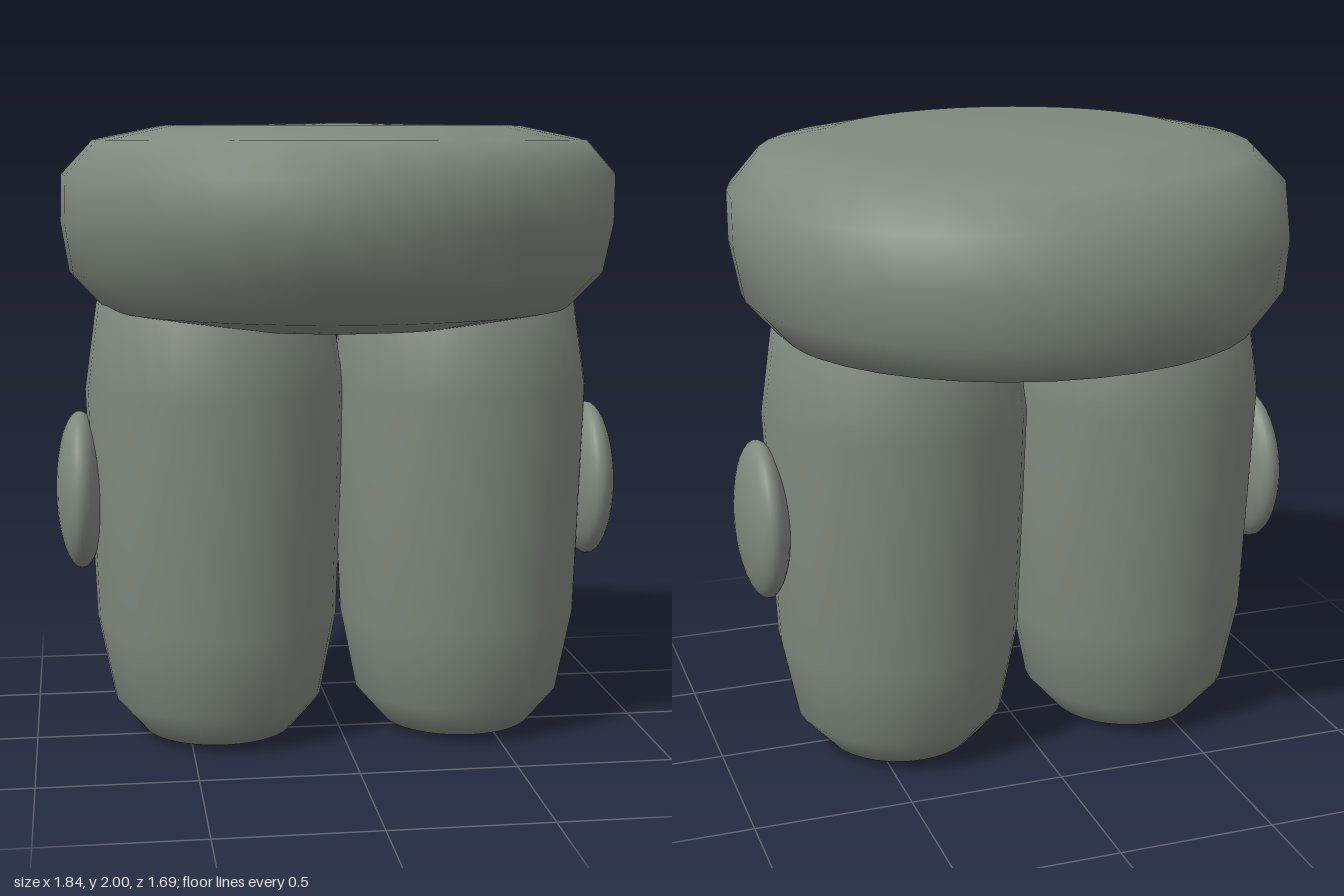
import * as THREE from 'three';
import { mergeVertices } from 'three/addons/utils/BufferGeometryUtils.js';

// Closed smooth body from elliptical rings, bottom to top: [halfWidth, y, halfDepth, zCentre]
function loft(rings, segments) {
  const profile = rings.map(([r, y]) => new THREE.Vector2(r, y));
  const lathe = new THREE.LatheGeometry(profile, segments);
  const pos = lathe.attributes.position;
  for (let i = 0; i < pos.count; i++) {
    const [r, , depth, zc] = rings[i % rings.length];
    pos.setZ(i, (r > 0 ? pos.getZ(i) * depth / r : 0) + zc);
  }
  lathe.deleteAttribute('uv');
  lathe.deleteAttribute('normal');
  const geometry = mergeVertices(lathe, 1e-4);
  geometry.computeVertexNormals();
  return geometry;
}

export function createModel() {
  const model = new THREE.Group();
  const stone = new THREE.MeshStandardMaterial({ color: 0x7f897d });
  stone.name = 'grey green';

  const add = (name, geometry, x = 0, y = 0, z = 0) => {
    const mesh = new THREE.Mesh(geometry, stone);
    mesh.name = name;
    mesh.position.set(x, y, z);
    model.add(mesh);
    return mesh;
  };

  // Broad cushion top, leaning slightly forward as it rises
  add('cushionTop', loft([
    [0, 1.355, 0, -0.1],
    [0.51, 1.36, 0.485, -0.1],
    [0.76, 1.413, 0.712, -0.067],
    [0.865, 1.53, 0.81, -0.035],
    [0.89, 1.69, 0.838, -0.008],
    [0.885, 1.84, 0.828, 0.018],
    [0.785, 1.948, 0.738, 0.038],
    [0.57, 1.992, 0.52, 0.05],
    [0, 2.0, 0, 0.05],
  ], 36));

  // Two stout rounded legs with an oval knob on each outer side
  const legGeometry = loft([
    [0, 0, 0, -0.025],
    [0.245, 0.022, 0.255, -0.026],
    [0.34, 0.13, 0.34, -0.03],
    [0.393, 0.4, 0.395, -0.03],
    [0.42, 1.15, 0.436, -0.036],
    [0.38, 1.43, 0.405, -0.04],
    [0.3, 1.52, 0.32, -0.04],
    [0, 1.54, 0, -0.04],
  ], 32);
  const knobGeometry = new THREE.SphereGeometry(1, 32, 20);
  for (const [side, label] of [[1, 'left'], [-1, 'right']]) {
    add(label + 'Leg', legGeometry, side * 0.402);
    add(label + 'Knob', knobGeometry, side * 0.842, 0.822, -0.03).scale.set(0.08, 0.257, 0.214);
  }
  return model;
}
